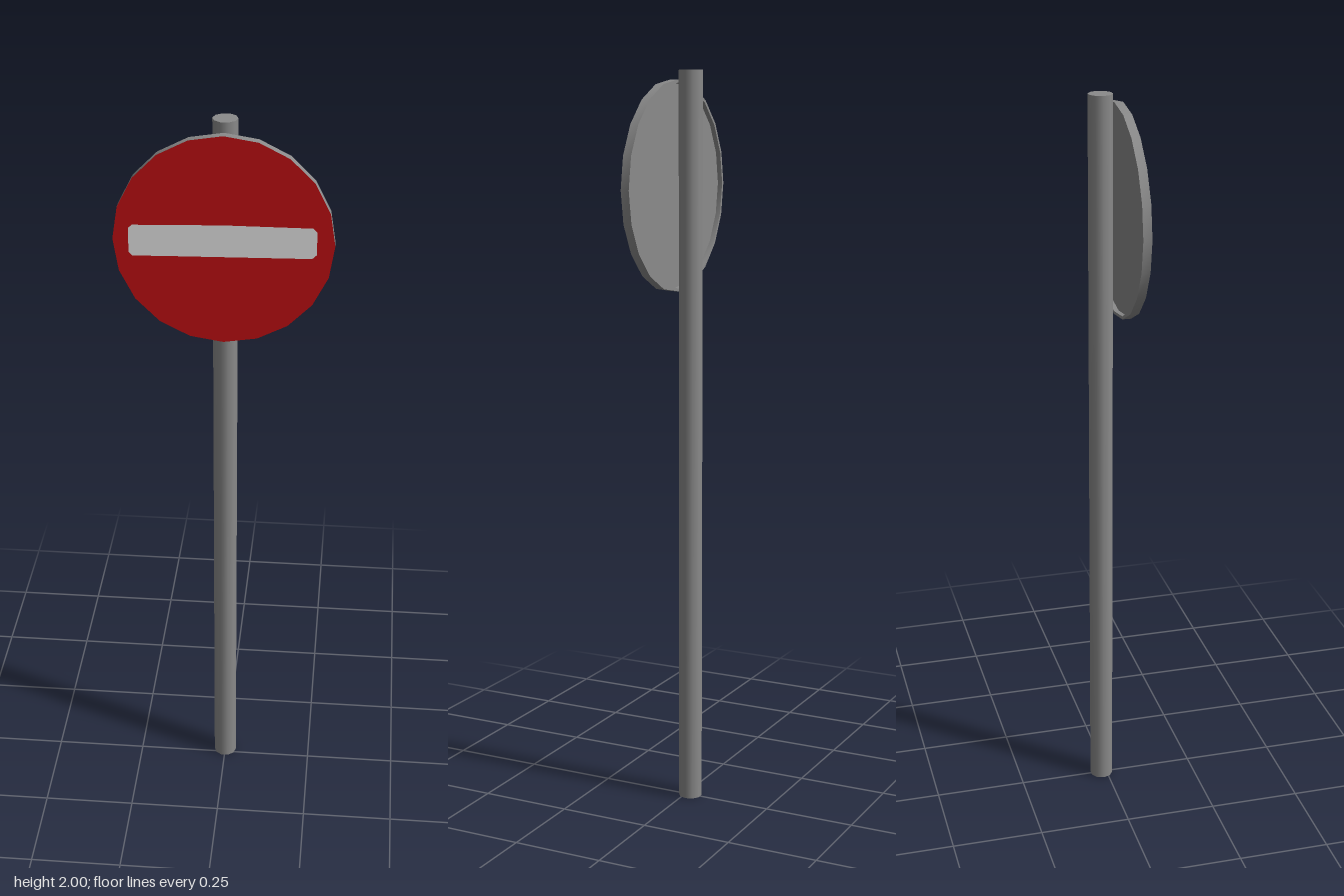
import * as THREE from 'three';
import { toCreasedNormals } from 'three/addons/utils/BufferGeometryUtils.js';

const material = (name, color) => {
  const m = new THREE.MeshStandardMaterial({ color });
  m.name = name;
  return m;
};

export function createModel() {
  const grey = material('metal grey', 0x8a8a8a);
  const red = material('sign red', 0xc10f12);
  const white = material('bar white', 0xe6e6e6);

  const model = new THREE.Group();
  model.name = 'roadSign';
  const add = (name, geometry, mat, parent) => {
    const mesh = new THREE.Mesh(geometry, mat);
    mesh.name = name;
    parent.add(mesh);
    return mesh;
  };

  // Ten-sided pole, with corners on the x axis
  const poleGeometry = new THREE.CylinderGeometry(0.032, 0.032, 2, 10, 1, false, Math.PI / 2);
  add('pole', poleGeometry, grey, model).position.set(0, 1, -0.015);

  const sign = new THREE.Group();
  sign.name = 'sign';
  sign.position.set(0, 1.698, 0.021);
  model.add(sign);

  // Shallow metal dish, open to the back
  const radius = 0.278, depth = 0.023, lip = 0.008, recess = 0.013;
  const profile = [
    [0, recess], [radius - lip, recess], [radius - lip, 0], [radius, 0], [radius, depth],
  ].map(([x, y]) => new THREE.Vector2(x, y));
  const dish = toCreasedNormals(new THREE.LatheGeometry(profile, 20), 0.6);
  add('signBacking', dish.rotateX(Math.PI / 2), grey, sign);

  // Red front face
  add('signFace', new THREE.CircleGeometry(radius, 20), red, sign).position.z = depth;

  // Slightly uneven painted bar with clipped corners
  const outline = [
    [-0.238, -0.034], [-0.228, -0.044], [-0.17, -0.042], [0.222, -0.035], [0.233, -0.024],
    [0.233, 0.037], [0.222, 0.047], [0, 0.047], [-0.228, 0.04], [-0.238, 0.031],
  ].map(([x, y]) => new THREE.Vector2(x, y));
  const bar = new THREE.ShapeGeometry(new THREE.Shape(outline));
  add('whiteBar', bar, white, sign).position.z = depth + 0.0015;

  return model;
}
